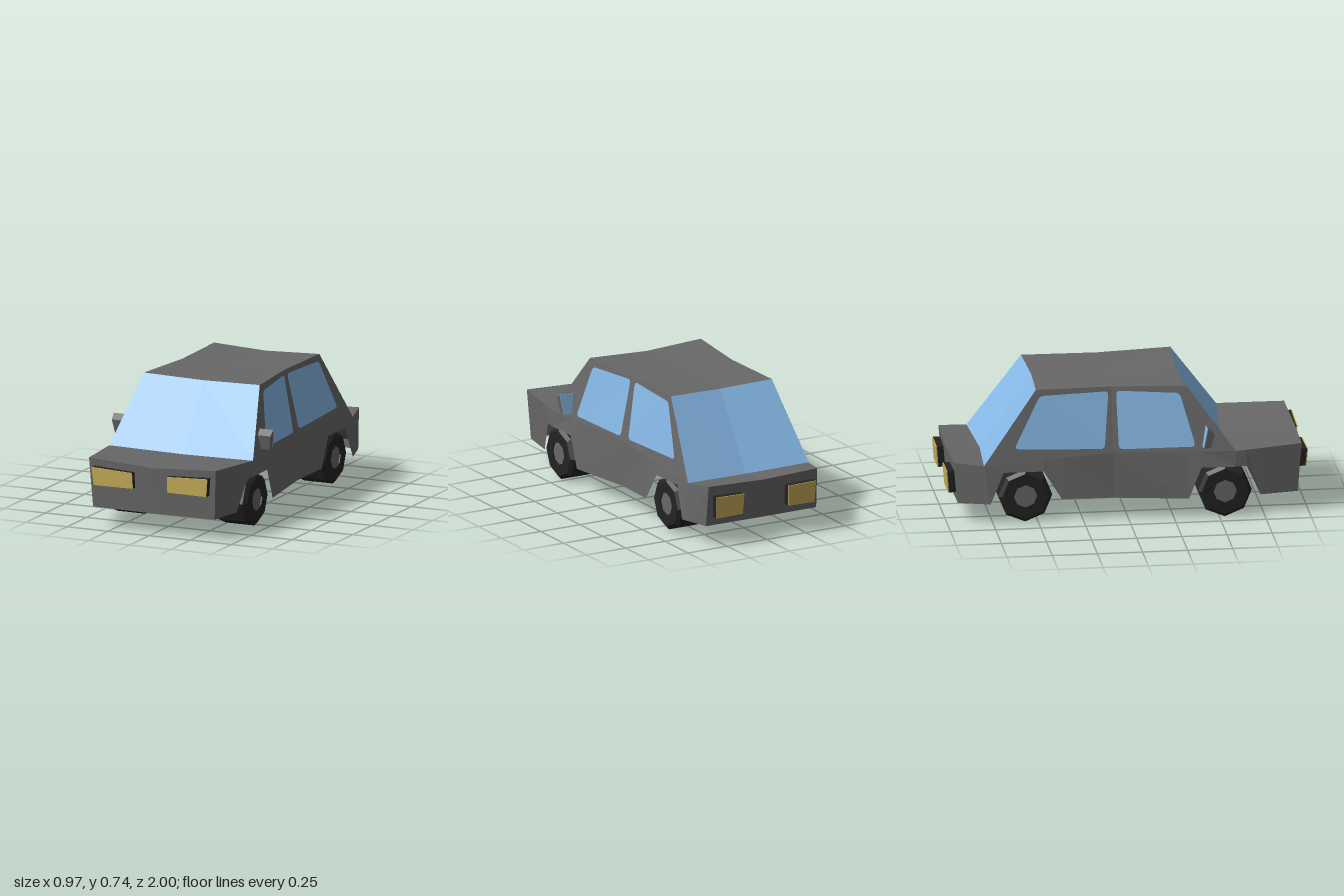
import * as THREE from 'three';

const mat = (name, color, side = THREE.FrontSide) =>
  Object.assign(new THREE.MeshStandardMaterial({ color, flatShading: true, side }), { name });

// Piecewise-linear lookup in rows of [z, a, b...], z falling
function at(knots, z, col) {
  let i = 0;
  while (i < knots.length - 2 && z < knots[i + 1][0]) i++;
  const [p, q] = [knots[i], knots[i + 1]];
  return p[col] + (q[col] - p[col]) * (z - p[0]) / (q[0] - p[0]);
}

// Belt line [z, y, x] and roof edge [z, y, x]
const BELT = [[0.96, 0.395, 0.385], [0.59, 0.38, 0.437], [-0.085, 0.38, 0.378], [-0.8, 0.33, 0.383], [-0.96, 0.345, 0.345]];
const ROOF = [[0.325, 0.743, 0.352], [-0.085, 0.74, 0.31], [-0.505, 0.74, 0.32]];
const MID = -0.085;

// Half-width of the upper side at (z, y)
function sideX(z, y) {
  const y0 = at(BELT, z, 1), y1 = 0.742;
  return THREE.MathUtils.lerp(at(BELT, z, 2), at(ROOF, Math.max(-0.505, Math.min(0.325, z)), 2), (y - y0) / (y1 - y0));
}

function flat(geo) {
  const g = geo.index ? geo.toNonIndexed() : geo;
  g.computeVertexNormals();
  return g;
}

// Surface between two rows of points
function strip(rowA, rowB) {
  const pos = [];
  for (let i = 0; i < rowA.length - 1; i++) {
    const [a, b, c, d] = [rowA[i], rowB[i], rowB[i + 1], rowA[i + 1]];
    for (const p of [a, b, c, a, c, d]) pos.push(...p);
  }
  const g = new THREE.BufferGeometry();
  g.setAttribute('position', new THREE.Float32BufferAttribute(pos, 3));
  return flat(g);
}

function mapPoints(geo, fn) {
  const p = geo.attributes.position;
  for (let i = 0; i < p.count; i++) p.setXYZ(i, ...fn(p.getX(i), p.getY(i), p.getZ(i)));
  return flat(geo);
}

// Mirror across x, keeping faces outward
function mirrored(geo) {
  const pos = [], p = geo.attributes.position;
  for (let i = 0; i < p.count; i += 3)
    for (const k of [i, i + 2, i + 1]) pos.push(-p.getX(k), p.getY(k), p.getZ(k));
  const g = new THREE.BufferGeometry();
  g.setAttribute('position', new THREE.Float32BufferAttribute(pos, 3));
  return flat(g);
}

const polygon = (pts) => new THREE.Shape(pts.map(([x, y]) => new THREE.Vector2(x, y)));

function roundedPolygon(pts, r) {
  const s = new THREE.Shape();
  const v = pts.map(([x, y]) => new THREE.Vector2(x, y));
  v.forEach((p, i) => {
    const toward = (q) => p.clone().add(q.clone().sub(p).setLength(r));
    const a = toward(v[(i + v.length - 1) % v.length]);
    const b = toward(v[(i + 1) % v.length]);
    if (i === 0) s.moveTo(a.x, a.y); else s.lineTo(a.x, a.y);
    s.quadraticCurveTo(p.x, p.y, b.x, b.y);
  });
  s.closePath();
  return s;
}

export function createModel() {
  const body = mat('body grey', 0x686868, THREE.DoubleSide);
  const glass = mat('window blue', 0x86b8e6, THREE.DoubleSide);
  const rubber = mat('tyre black', 0x232323);
  const lens = mat('lamp yellow', 0xcbb15a);

  const car = new THREE.Group();
  car.name = 'car';
  const add = (name, geo, material, parent = car) => {
    const m = new THREE.Mesh(geo, material);
    m.name = name;
    parent.add(m);
    return m;
  };
  const addPair = (name, geo, material) => {
    add(name + 'Right', geo, material);
    add(name + 'Left', mirrored(geo), material);
  };

  // Centre panels, nose to tail: [x, y, z, centre y, centre z]
  const sections = [
    [0.37, 0.115, 0.94, 0.115, 0.952],
    [0.385, 0.395, 0.96, 0.375, 0.972],
    [0.437, 0.38, 0.59, 0.365, 0.555],
    [0.352, 0.743, 0.325, 0.732, 0.31],
    [0.31, 0.74, MID, 0.728, MID],
    [0.32, 0.74, -0.505, 0.73, -0.49],
    [0.383, 0.33, -0.8, 0.318, -0.775],
    [0.345, 0.345, -0.96, 0.335, -0.965],
    [0.35, 0.115, -0.94, 0.115, -0.945],
  ].map(([x, y, z, cy, cz]) => [[x, y, z], [0, cy, cz], [-x, y, z]]);
  ['frontPanel', 'hood', 'windshield', 'roofFront', 'roofRear', 'rearWindow', 'trunkLid', 'rearPanel']
    .forEach((name, i) => add(name, strip(sections[i], sections[i + 1]),
      /wind/i.test(name) ? glass : body));

  // Lower sides with wheel arches: [bottom z, y, x, belt z]
  const lower = [
    [0.94, 0.115, 0.37, 0.96], [0.73, 0.115, 0.405, 0.73], [0.65, 0.29, 0.43, 0.65],
    [0.59, 0.29, 0.437, 0.59], [0.4, 0.29, 0.433, 0.4], [0.33, 0.115, 0.433, 0.33],
    [MID, 0.122, 0.385, MID], [-0.37, 0.13, 0.4, -0.37], [-0.47, 0.29, 0.39, -0.47],
    [-0.69, 0.29, 0.387, -0.69], [-0.765, 0.115, 0.4, -0.765], [-0.8, 0.115, 0.392, -0.8],
    [-0.94, 0.115, 0.35, -0.96],
  ];
  addPair('lowerSide', strip(
    lower.map(([z, y, x]) => [-x, y, z]),
    lower.map(([, , , z]) => [-at(BELT, z, 2), at(BELT, z, 1), z])), body);

  // Upper sides: pillars around rounded windows
  const halves = [
    ['Front', [[0.59, 0.38], [MID, 0.38], [MID, 0.74], [0.325, 0.743]],
      [[0.37, 0.407], [-0.052, 0.397], [-0.06, 0.717], [0.288, 0.702]]],
    ['Rear', [[MID, 0.38], [-0.8, 0.33], [-0.505, 0.74], [MID, 0.74]],
      [[-0.13, 0.4], [-0.63, 0.418], [-0.485, 0.705], [-0.102, 0.715]]],
  ];
  const onSide = (z, y) => [-sideX(z, y), y, z];
  for (const [end, outline, windowPts] of halves) {
    const frame = polygon(outline);
    const pane = roundedPolygon(windowPts, 0.025);
    frame.holes.push(pane);
    addPair('pillars' + end, mapPoints(new THREE.ShapeGeometry(frame, 3), onSide), body);
    addPair('sideWindow' + end, mapPoints(new THREE.ShapeGeometry(pane, 3), onSide), glass);
  }

  // Door mirrors, narrowing downward, with glass facing back
  const mirrorPart = (pts) => mapPoints(
    new THREE.ExtrudeGeometry(polygon(pts), { depth: 1, bevelEnabled: false }),
    (z, y, t) => [-(0.444 + (t - 0.5) * THREE.MathUtils.lerp(0.05, 0.085, (y - 0.41) / 0.115)), y, z]);
  addPair('doorMirror', mirrorPart([[0.465, 0.495], [0.43, 0.525], [0.411, 0.41], [0.447, 0.415]]), body);
  addPair('mirrorGlass', mirrorPart([[0.43, 0.523], [0.425, 0.523], [0.406, 0.412], [0.411, 0.412]]), glass);

  // Lamps: dark housings with a thin yellow lens, leaning with the panel
  const lamp = (name, pts, back, front, parent) => {
    const top = Math.max(...pts.map((p) => p[1]));
    const slab = (z0, z1) => mapPoints(
      new THREE.ExtrudeGeometry(polygon(pts), { depth: z1 - z0, bevelEnabled: false }),
      (x, y, z) => [x, y, z + z0 + 0.08 * (y - top)]);
    add(name + 'Housing', slab(back, front - 0.006), rubber, parent);
    add(name + 'Lens', slab(front - 0.006, front), lens, parent);
  };
  const tail = new THREE.Group();
  tail.name = 'tailLights';
  tail.rotation.y = Math.PI;
  car.add(tail);
  for (const s of [1, -1]) {
    const side = (pts) => pts.map(([x, y]) => [s * x, y]);
    lamp('headlight', side([[0.105, 0.252], [0.342, 0.25], [0.352, 0.352], [0.107, 0.341]]), 0.95, 1, car);
    lamp('tailLight', side([[0.145, 0.168], [0.31, 0.165], [0.315, 0.288], [0.14, 0.285]]), 0.945, 1, tail);
  }

  // Octagonal wheels
  const tyre = flat(new THREE.LatheGeometry(
    [[0, -0.095], [0.15, -0.095], [0.15, 0.075], [0.13, 0.095], [0.065, 0.095], [0.065, 0.08]]
      .map(([r, y]) => new THREE.Vector2(r, y)), 8));
  const hub = flat(new THREE.CylinderGeometry(0.066, 0.045, 0.185, 8));
  for (const [end, z, x] of [['front', 0.53, 0.34], ['rear', -0.57, 0.295]]) {
    for (const s of [1, -1]) {
      const wheel = new THREE.Group();
      wheel.name = end + 'Wheel';
      wheel.position.set(s * x, 0.15, z);
      wheel.rotation.z = -s * Math.PI / 2;
      add('tyre', tyre, rubber, wheel);
      add('hub', hub, body, wheel).position.y = -0.005;
      car.add(wheel);
    }
  }
  return car;
}
